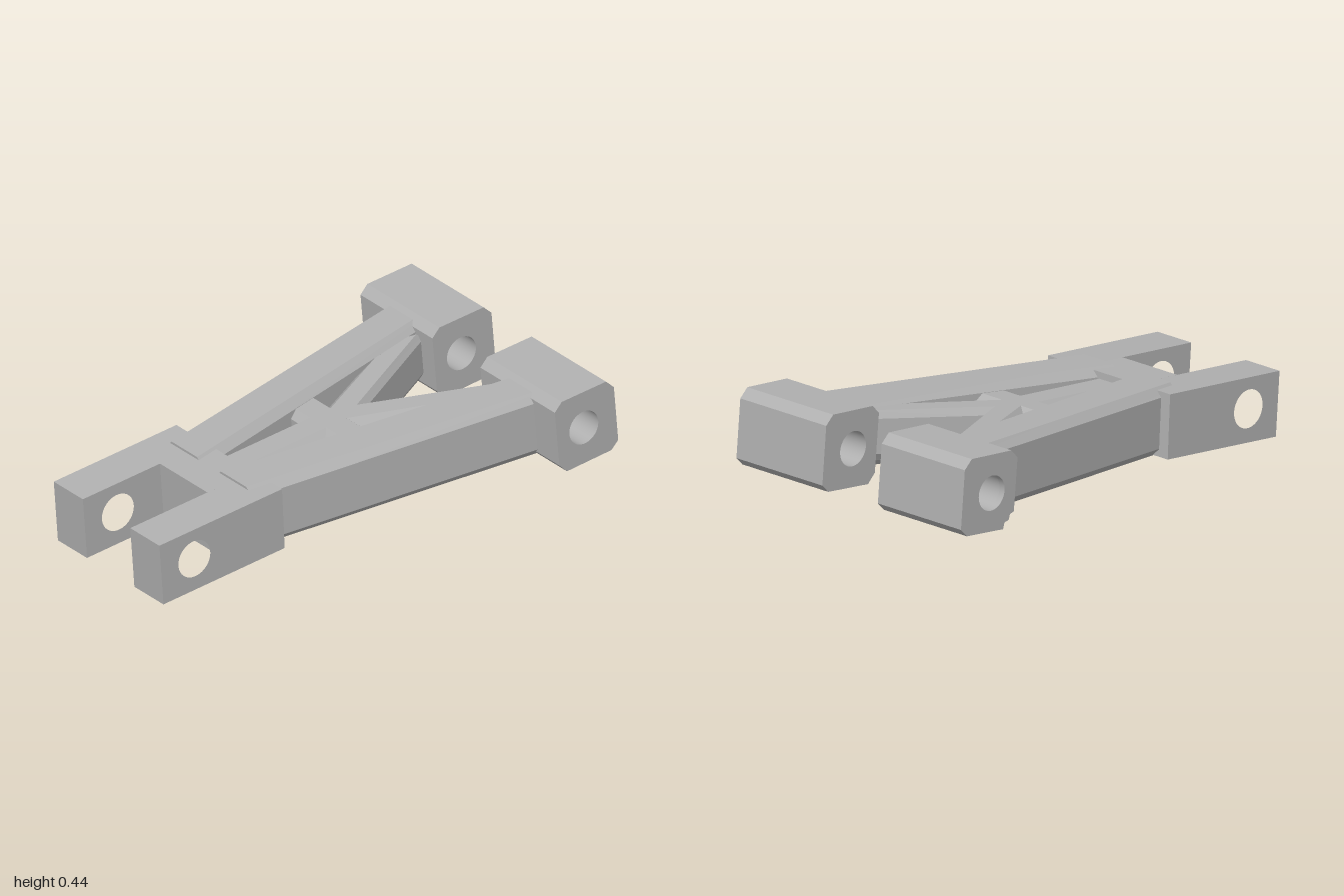
import * as THREE from 'three';
import { toCreasedNormals } from 'three/addons/utils/BufferGeometryUtils.js';

const grey = new THREE.MeshStandardMaterial({ color: 0xb0b0b0 });
grey.name = 'grey plastic';

const TILT = 0.082; // whole part rises gently towards the back

const toShape = (pts) => new THREE.Shape(pts.map(([x, y]) => new THREE.Vector2(x, y)));

function addMesh(group, name, geometry) {
  const mesh = new THREE.Mesh(toCreasedNormals(geometry, 0.5), grey);
  mesh.name = name;
  group.add(mesh);
}

// Side profile of [z, y] points pushed along x, with an optional round bore
function sideExtrude(profile, x0, x1, bore) {
  const shape = toShape(profile.map(([z, y]) => [-z, y]));
  if (bore) {
    const hole = new THREE.Path();
    hole.absarc(-bore.z, bore.y, bore.r, 0, Math.PI * 2, true);
    shape.holes.push(hole);
  }
  const geo = new THREE.ExtrudeGeometry(shape, { depth: x1 - x0, bevelEnabled: false, curveSegments: 20 });
  return geo.rotateY(Math.PI / 2).translate(x0, 0, 0);
}

// Plan outline of [x, z] points raised into a chamfered, tilted web
function webExtrude(plan) {
  const chamfer = 0.03, bottom = 0.115, top = 0.314;
  const geo = new THREE.ExtrudeGeometry(toShape(plan.map(([x, z]) => [x, -z])), {
    depth: top - bottom - 2 * chamfer,
    bevelThickness: chamfer, bevelSize: chamfer, bevelOffset: -chamfer, bevelSegments: 1,
  });
  return geo.rotateX(-Math.PI / 2).translate(0, bottom + chamfer, -0.026).rotateX(TILT);
}

// Chamfered beam running from the fork out to a rear block
function armGeometry(side) {
  const w = 0.225, h = 0.271, c = 0.034;
  const section = [[c, 0], [w - c, 0], [w, c], [w, h - c], [w - c, h], [c, h], [0, h - c], [0, c]];
  const geo = new THREE.ExtrudeGeometry(toShape(section.map(([x, y]) => [x * side, y])), { depth: 1, bevelEnabled: false });
  const p = geo.attributes.position;
  for (let i = 0; i < p.count; i++) {
    const s = 1 - p.getZ(i), y = p.getY(i);
    p.setXYZ(i,
      p.getX(i) * (1 - 0.1 * s) + side * (0.04 + 0.23 * s),
      0.04 + y + 0.097 * s,
      0.485 + y * TILT - 1.23 * s);
  }
  geo.computeVertexNormals();
  return geo;
}

export function createModel() {
  const model = new THREE.Group();
  model.name = 'suspensionArm';

  // Front fork
  const prong = [[0.98, 0.0], [1.0, 0.26], [0.408, 0.309], [0.395, 0.05]];
  const frontBore = { z: 0.831, y: 0.148, r: 0.077 };
  addMesh(model, 'leftProng', sideExtrude(prong, 0.145, 0.325, frontBore));
  addMesh(model, 'rightProng', sideExtrude(prong, -0.328, -0.148, frontBore));
  addMesh(model, 'forkBridge', sideExtrude(
    [[0.608, 0.032], [0.628, 0.291], [0.408, 0.309], [0.395, 0.05]], -0.148, 0.145));

  // Rear pivot blocks
  const upper = [[-0.968, 0.139], [-1.0, 0.172], [-0.979, 0.407], [-0.941, 0.443], [-0.727, 0.426], [-0.694, 0.39]];
  const block = [...upper, [-0.716, 0.155], [-0.753, 0.118]];
  const notched = [...upper, [-0.714, 0.178], [-0.735, 0.172], [-0.742, 0.15], [-0.765, 0.145], [-0.772, 0.12]];
  const rearBore = { z: -0.834, y: 0.28, r: 0.07 };
  addMesh(model, 'leftPivotBlock', sideExtrude(block, 0.14, 0.6, rearBore));
  addMesh(model, 'rightPivotBlock', sideExtrude(block, -0.575, -0.157, rearBore));
  addMesh(model, 'rightPivotBlockEnd', sideExtrude(notched, -0.602, -0.575, rearBore));

  // Main arms
  addMesh(model, 'leftArm', armGeometry(1));
  addMesh(model, 'rightArm', armGeometry(-1));

  // Bracing between the arms
  addMesh(model, 'vBrace', webExtrude(
    [[0, -0.249], [0.25, -0.73], [0.31, -0.58], [0.03, -0.01], [-0.03, -0.01], [-0.31, -0.58], [-0.25, -0.73]]));
  addMesh(model, 'crossBar', webExtrude([[-0.2, -0.148], [0.2, -0.148], [0.2, 0.01], [-0.2, 0.01]]));
  addMesh(model, 'centreRib', webExtrude([[-0.08, -0.1], [0.08, -0.1], [0.08, 0.46], [-0.08, 0.46]]));

  return model;
}
